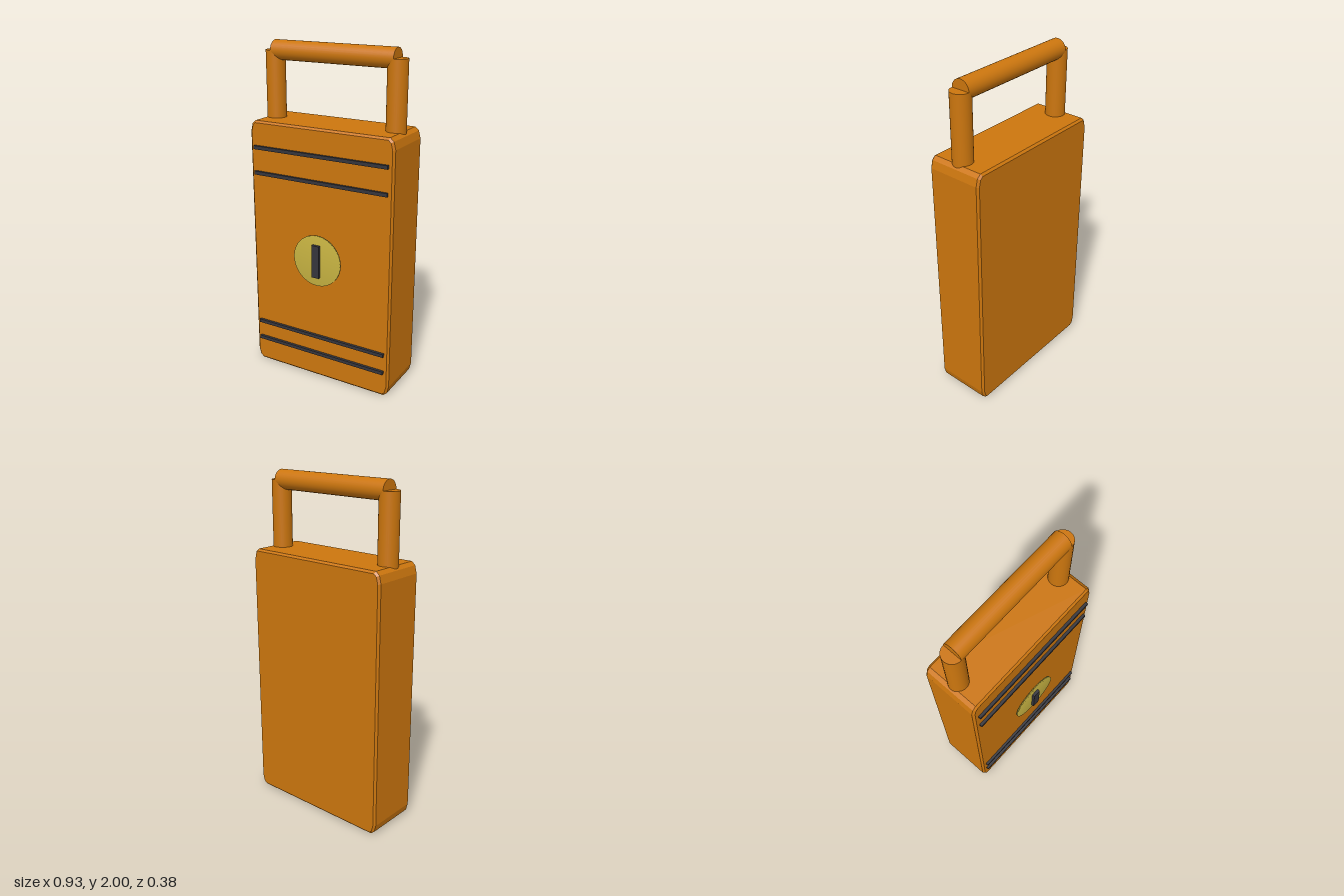
import * as THREE from 'three';
import { mergeVertices } from 'three/addons/utils/BufferGeometryUtils.js';

const orange = new THREE.MeshStandardMaterial({ color: 0xcc760e });
orange.name = 'orange';
const orangeFlat = orange; // one colour for body and handle
const brass = new THREE.MeshStandardMaterial({ color: 0xc8b442 });
brass.name = 'brass';
const charcoal = new THREE.MeshStandardMaterial({ color: 0x35353c });
charcoal.name = 'charcoal';

const HALF_W = 0.465, HEIGHT = 1.555, BACK = -0.193, FRONT = 0.145, BEVEL = 0.012;

function part(name, geometry, material, x, y, z) {
  const mesh = new THREE.Mesh(geometry, material);
  mesh.name = name;
  mesh.position.set(x, y, z);
  return mesh;
}

// Slab with clipped corners in outline and a narrow chamfer front and back
function bodyGeometry() {
  const w = HALF_W - BEVEL, top = HEIGHT - BEVEL, bottom = BEVEL;
  const corner = [[0, 0.053], [0.01, 0.014], [0.026, 0]]; // inset from side, inset from end
  const right = corner.map(([dx, dy]) => new THREE.Vector2(w - dx, top - dy));
  const lower = corner.map(([dx, dy]) => new THREE.Vector2(w - dx, bottom + dy)).reverse();
  const half = [...lower, ...right];
  const mirrored = half.map((p) => new THREE.Vector2(-p.x, p.y)).reverse();
  const geometry = new THREE.ExtrudeGeometry(new THREE.Shape([...half, ...mirrored]), {
    depth: FRONT - BACK - 2 * BEVEL,
    bevelThickness: BEVEL, bevelSize: BEVEL, bevelSegments: 1,
  });
  geometry.translate(0, 0, BACK + BEVEL);
  return geometry;
}

// Disc facing +z whose normals blend over the rim
function softDisc(radius, depth) {
  const geometry = new THREE.CylinderGeometry(radius, radius, depth, 48).rotateX(Math.PI / 2);
  geometry.deleteAttribute('normal');
  geometry.deleteAttribute('uv');
  const merged = mergeVertices(geometry);
  merged.computeVertexNormals();
  return merged;
}

export function createModel() {
  const model = new THREE.Group();
  model.name = 'padlock';
  model.add(part('body', bodyGeometry(), orangeFlat, 0, 0, 0));

  // Shackle: two posts and a crossbar
  const r = 0.057, z = -0.024;
  const shackle = new THREE.Group();
  shackle.name = 'shackle';
  for (const [side, name] of [[1, 'leftPost'], [-1, 'rightPost']]) {
    const post = new THREE.CylinderGeometry(r, r, 0.41, 32);
    shackle.add(part(name, post, orange, side * 0.389, 1.738, z));
  }
  const bar = new THREE.CylinderGeometry(r, r, 0.776, 32).rotateZ(Math.PI / 2);
  shackle.add(part('crossbar', bar, orange, 0, 1.943, z));
  model.add(shackle);

  // Bands across the front
  [0.16, 0.275, 1.247, 1.4].forEach((y, i) => {
    model.add(part(`band${i + 1}`, new THREE.BoxGeometry(0.868, 0.021, 0.016), charcoal, 0, y, 0.153));
  });

  // Keyhole plate and slot
  model.add(part('keyholePlate', softDisc(0.155, 0.013), brass, 0, 0.78, 0.1685));
  model.add(part('keySlot', new THREE.BoxGeometry(0.048, 0.2, 0.017), charcoal, 0, 0.78, 0.1835));
  return model;
}
